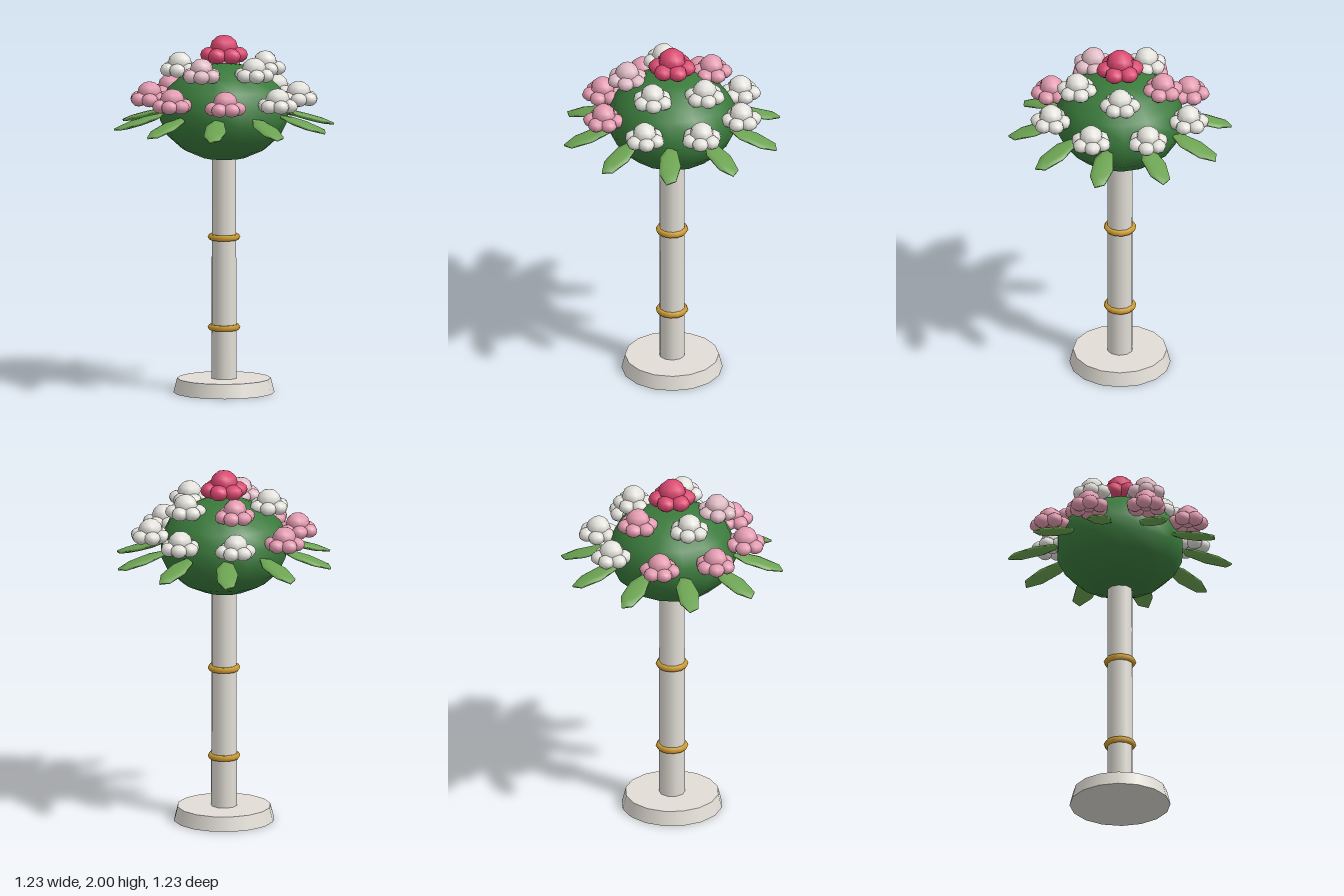
import * as THREE from 'three';

const paint = (name, color) => {
  const m = new THREE.MeshStandardMaterial({ color });
  m.name = name;
  return m;
};

export function createModel() {
  const mats = {
    stone: paint('ivory', 0xe2ded6),
    gold: paint('gold', 0xcf9c30),
    bush: paint('dark green', 0x3a7a3c),
    leaf: paint('leaf green', 0x6ca352),
    white: paint('white', 0xe4e2dc),
    pink: paint('pink', 0xe39bb0),
    blush: paint('blush', 0xe0bcc6),
    rose: paint('rose', 0xda4870),
  };
  const model = new THREE.Group();
  model.name = 'flowerTopiary';

  const add = (parent, name, geometry, material, x = 0, y = 0, z = 0) => {
    const mesh = new THREE.Mesh(geometry, material);
    mesh.name = name;
    mesh.position.set(x, y, z);
    parent.add(mesh);
    return mesh;
  };

  // stand: base, pole and two gold rings
  add(model, 'base', new THREE.CylinderGeometry(0.26, 0.28, 0.08, 16), mats.stone, 0, 0.04, 0);
  add(model, 'pole', new THREE.CylinderGeometry(0.07, 0.072, 1.29, 10), mats.stone, 0, 0.725, 0);
  const ringGeo = new THREE.TorusGeometry(0.073, 0.018, 6, 12).rotateX(Math.PI / 2);
  for (const y of [0.365, 0.87]) add(model, 'ring', ringGeo, mats.gold, 0, y, 0);

  // flattened ball of foliage
  const ballGeo = new THREE.SphereGeometry(0.36, 14, 9).scale(1, 0.75, 1);
  add(model, 'foliage', ballGeo, mats.bush, 0, 1.57, 0);

  // ten drooping leaves around the ball
  const leafGeo = new THREE.SphereGeometry(1, 7, 5, Math.PI).scale(0.065, 0.018, 0.157).rotateX(0.28);
  for (let i = 0; i < 10; i++) {
    const a = THREE.MathUtils.degToRad(-83 + 36 * i);
    const leaf = add(model, 'leaf', leafGeo, mats.leaf, 0.48 * Math.cos(a), 1.525, 0.48 * Math.sin(a));
    leaf.rotation.y = Math.PI / 2 - a;
  }

  // blossom: a round heart with six petals, turned to face outward
  const heartGeo = new THREE.SphereGeometry(0.067, 8, 6).scale(1, 0.9, 1);
  const petalGeo = new THREE.SphereGeometry(0.047, 8, 6).scale(1, 0.82, 1);
  const addFlower = (name, material, radius, degrees, y, size = 1) => {
    const a = THREE.MathUtils.degToRad(degrees);
    const flower = new THREE.Group();
    flower.name = name;
    flower.position.set(radius * Math.cos(a), y, radius * Math.sin(a));
    flower.rotation.y = Math.PI / 2 - a;
    flower.scale.setScalar(size);
    add(flower, 'heart', heartGeo, material, 0, 0.037, 0);
    for (let i = 0; i < 6; i++) {
      const p = (i * Math.PI) / 3;
      const petal = add(flower, 'petal', petalGeo, material, 0.068 * Math.cos(p), 0, 0.068 * Math.sin(p));
      petal.rotation.y = -p;
    }
    model.add(flower);
  };

  // lower ring of eight, upper ring of five, and one on top
  for (let i = 0; i < 8; i++) {
    addFlower('lowerFlower', i < 4 ? mats.white : mats.pink, 0.413, -90 + 45 * i, 1.643);
  }
  ['white', 'white', 'blush', 'white', 'pink'].forEach((c, i) => {
    addFlower('upperFlower', mats[c], 0.25, -23 + 72 * i, 1.8);
  });
  addFlower('topFlower', mats.rose, 0, 90, 1.888, 1.15);

  return model;
}
